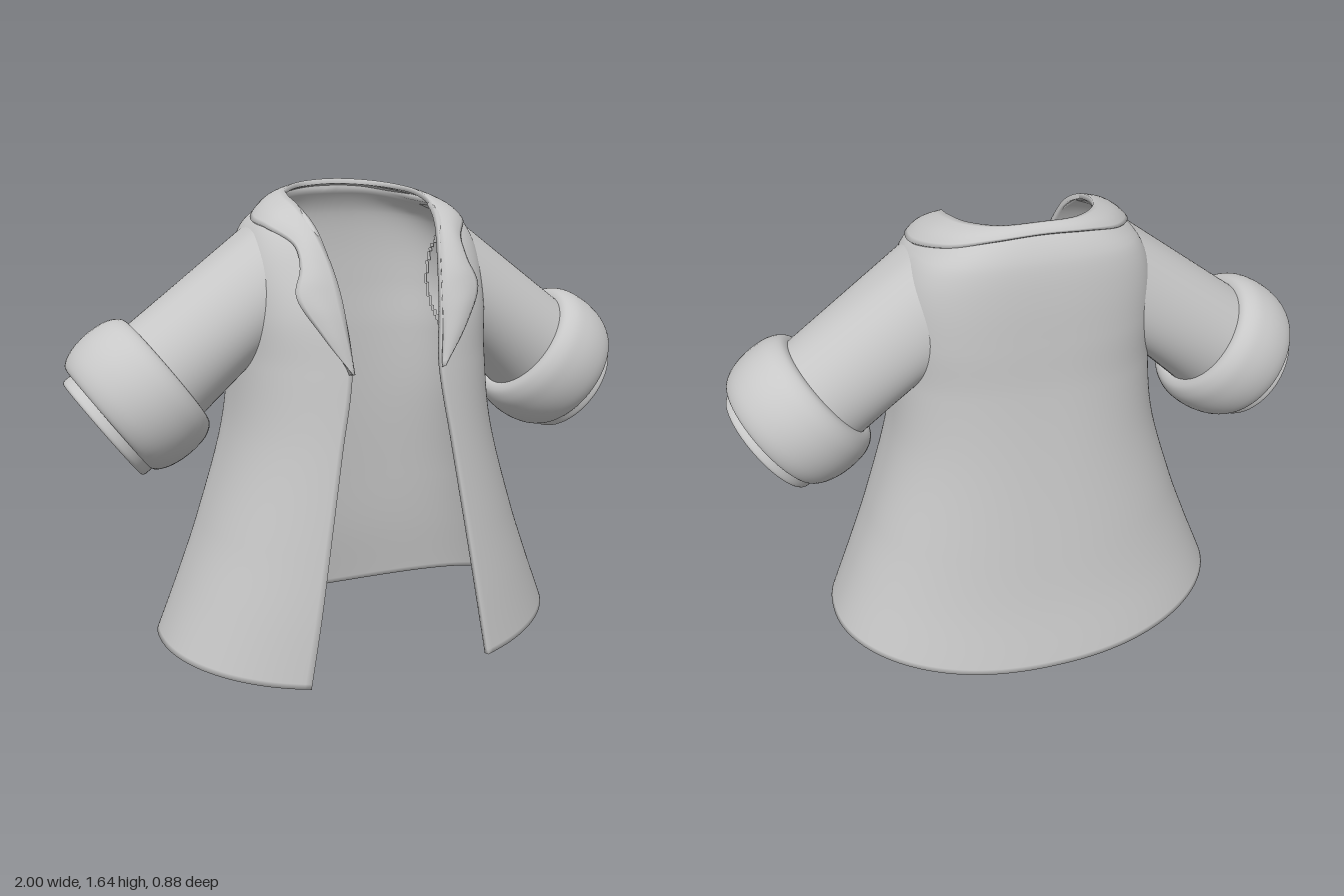
import * as THREE from 'three';

const cloth = new THREE.MeshStandardMaterial({ color: 0xc8c8c8, side: THREE.DoubleSide });
cloth.name = 'grey cloth';

// Smooth sheet f(u, v), given thickness on its inner side; skip() cuts holes
function sheet(f, nu, nv, { thickness = 0, closed = false, skip = () => false } = {}) {
  const cols = closed ? nu : nu + 1, count = cols * (nv + 1);
  const id = (i, j) => (i % cols) * (nv + 1) + j;
  const pts = [], full = [], index = [];
  for (let i = 0; i < cols; i++)
    for (let j = 0; j <= nv; j++) pts.push(f(i / nu, j / nv));
  const quad = (list, a, b, c, d) => list.push(a, b, c, a, c, d);
  for (let i = 0; i < nu; i++)
    for (let j = 0; j < nv; j++) {
      const q = [id(i, j), id(i + 1, j), id(i + 1, j + 1), id(i, j + 1)];
      quad(full, ...q);
      const mid = pts[q[0]].clone().add(pts[q[2]]).multiplyScalar(0.5);
      if (skip(mid)) continue;
      quad(index, ...q);
      if (thickness) quad(index, ...q.map(k => k + count).reverse());
    }
  const g = new THREE.BufferGeometry().setFromPoints(pts);
  g.setIndex(full);
  g.computeVertexNormals();
  if (!thickness) {
    g.setIndex(index);
    return g;
  }
  const n = new THREE.Vector3();
  const inner = pts.map((p, k) => p.clone().addScaledVector(n.fromBufferAttribute(g.attributes.normal, k), -thickness));
  // Rims joining both layers
  const rim = (a, b) => quad(index, b, a, a + count, b + count);
  for (let i = 0; i < nu; i++) {
    rim(id(i, 0), id(i + 1, 0));
    rim(id(i + 1, nv), id(i, nv));
  }
  for (let j = 0; j < nv && !closed; j++) {
    rim(id(0, j + 1), id(0, j));
    rim(id(nu, j), id(nu, j + 1));
  }
  const out = new THREE.BufferGeometry().setFromPoints([...pts, ...inner]);
  out.setIndex(index);
  out.computeVertexNormals();
  return out;
}

// Body sections: height, half width, front edge z, back depth, half opening, roundness
const ROWS = [
  [0.09, 0.73, 0.435, 0.445, 0.33, 0.9],
  [0.30, 0.645, 0.428, 0.40, 0.29, 0.88],
  [0.50, 0.57, 0.415, 0.37, 0.255, 0.86],
  [0.82, 0.472, 0.39, 0.33, 0.20, 0.82],
  [1.08, 0.437, 0.37, 0.307, 0.157, 0.76],
  [1.25, 0.43, 0.34, 0.302, 0.168, 0.7],
  [1.40, 0.418, 0.278, 0.295, 0.19, 0.7],
  [1.50, 0.378, 0.218, 0.28, 0.21, 0.7],
  [1.55, 0.32, 0.16, 0.255, 0.225, 0.7],
  [1.58, 0.268, 0.10, 0.228, 0.238, 0.7],
];

// Cubic interpolation of the sections by height
function section(y) {
  const last = ROWS.length - 1;
  let i = 0;
  while (i < last - 1 && y > ROWS[i + 1][0]) i++;
  const a = ROWS[i], b = ROWS[i + 1], h = b[0] - a[0];
  const t = THREE.MathUtils.clamp((y - a[0]) / h, 0, 1);
  const slope = (k, c) => {
    const p = ROWS[Math.max(k - 1, 0)], q = ROWS[Math.min(k + 1, last)];
    return (q[c] - p[c]) / (q[0] - p[0]);
  };
  const [w, zEdge, back, gap, p] = [1, 2, 3, 4, 5].map(c =>
    a[c] * (1 + 2 * t) * (1 - t) ** 2 + b[c] * t * t * (3 - 2 * t) +
    h * (slope(i, c) * t * (1 - t) ** 2 - slope(i + 1, c) * t * t * (1 - t)));
  const start = Math.asin(Math.min(1, gap / w) ** (1 / p));
  return { w, back, p, start, front: zEdge / Math.cos(start) ** p };
}

function bodyPoint(u, v) {
  const y = THREE.MathUtils.lerp(0.09, 1.58, v), s = section(y);
  const a = THREE.MathUtils.lerp(s.start, 2 * Math.PI - s.start, u);
  const sin = Math.sin(a), cos = Math.cos(a);
  const x = Math.sign(sin) * s.w * Math.abs(sin) ** s.p;
  const z = (cos > 0 ? s.front : -s.back) * Math.abs(cos) ** s.p;
  // The hem dips at front and back, the neck rises at the back
  const dip = (cos > 0 ? 0.07 : 0.09) * cos * cos * (1 - v) ** 3;
  const rise = cos < 0 ? 0.035 * cos * cos * v ** 10 : 0;
  return new THREE.Vector3(x, y - dip + rise, z);
}

// Half width of the body surface at a given height and depth
function bodyX(y, z) {
  const s = section(y), c = Math.min(1, Math.abs(z) / (z > 0 ? s.front : s.back));
  return s.w * (1 - c ** (2 / s.p)) ** (s.p / 2);
}

const ARM = { y: 1.27, z: -0.005, h: 0.25, d: 0.215 };
const inArmhole = p => Math.abs(p.x) > 0.28 &&
  ((p.y - ARM.y) / ARM.h) ** 2 + ((p.z - ARM.z) / ARM.d) ** 2 < 0.82;

// Sleeve from the armhole to a round end inside the cuff
function sleevePoint(side, u, v) {
  const a = side * (u * 2 - 1) * Math.PI, c = Math.cos(a), s = Math.sin(a);
  const y = ARM.y + ARM.h * c, z = ARM.z + ARM.d * s;
  const from = new THREE.Vector3(bodyX(y, z) - 0.008, y, z);
  const to = new THREE.Vector3(0.732 + 0.586 * 0.195 * c, 1.0 + 0.81 * 0.195 * c, -0.003 + 0.195 * s);
  const p = from.lerp(to, v);
  p.x *= side;
  return p;
}

// Collar and lapel edges, from the back of the neck to the lapel point
const INNER = [[0, 1.638, -0.215], [0.12, 1.632, -0.195], [0.205, 1.62, -0.11], [0.238, 1.605, 0], [0.235, 1.575, 0.11],
  [0.215, 1.5, 0.215], [0.19, 1.4, 0.285], [0.175, 1.3, 0.33], [0.165, 1.19, 0.36], [0.152, 1.07, 0.38]];
const OUTER = [[0, 1.61, -0.25], [0.15, 1.598, -0.235], [0.28, 1.565, -0.165], [0.365, 1.53, -0.01], [0.355, 1.515, 0.115],
  [0.295, 1.465, 0.22], [0.295, 1.4, 0.272], [0.32, 1.32, 0.302], [0.255, 1.2, 0.352], [0.165, 1.075, 0.386]];
const mirrored = list => new THREE.CatmullRomCurve3([
  ...list.slice(1).reverse().map(p => new THREE.Vector3(...p)),
  ...list.map(([x, y, z]) => new THREE.Vector3(-x, y, z)),
]);

function collarGeometry() {
  const inner = mirrored(INNER), outer = mirrored(OUTER);
  return sheet((u, v) => {
    const a = outer.getPoint(u), b = inner.getPoint(u);
    const puff = Math.min(0.016, a.distanceTo(b) * 0.12) * Math.sin(Math.PI * v);
    const p = a.lerp(b, v);
    return p.addScaledVector(new THREE.Vector3(p.x, 0.2, p.z).normalize(), puff);
  }, 120, 8, { thickness: 0.018 });
}

// Rounded ring turned around the sleeve axis
function ring(profile) {
  const curve = new THREE.CatmullRomCurve3(profile.map(([r, t]) => new THREE.Vector3(r, t, 0)));
  return new THREE.LatheGeometry(curve.getPoints(48).map(p => new THREE.Vector2(p.x, p.y)), 64);
}
const CUFF = [[0.17, -0.262], [0.19, -0.282], [0.22, -0.278], [0.245, -0.245], [0.256, -0.19], [0.255, -0.13],
  [0.242, -0.075], [0.222, -0.042], [0.205, -0.035], [0.185, -0.05]];
const SLEEVE_END = [[0.198, -0.1], [0.2, -0.03], [0.198, -0.004], [0.19, 0.002], [0.181, -0.006],
  [0.176, -0.04], [0.176, -0.16], [0.18, -0.26]];

export function createModel() {
  const model = new THREE.Group();
  const add = (name, geometry) => {
    const mesh = new THREE.Mesh(geometry, cloth);
    mesh.name = name;
    model.add(mesh);
    return mesh;
  };

  add('coatBody', sheet(bodyPoint, 160, 90, { thickness: 0.018, skip: inArmhole }));
  add('collar', collarGeometry());

  for (const [label, side] of [['left', 1], ['right', -1]]) {
    add(label + 'Sleeve', sheet((u, v) => sleevePoint(side, u, v), 64, 16, { closed: true }));
    const axis = new THREE.Vector3(0.81 * side, -0.586, 0).normalize();
    const turn = new THREE.Quaternion().setFromUnitVectors(new THREE.Vector3(0, 1, 0), axis);
    const cuff = add(label + 'Cuff', ring(CUFF));
    cuff.position.set(0.894 * side, 0.882, -0.003);
    const end = add(label + 'SleeveEnd', ring(SLEEVE_END));
    end.position.set(0.885 * side, 0.87, -0.003);
    for (const m of [cuff, end]) m.quaternion.copy(turn);
  }
  return model;
}
